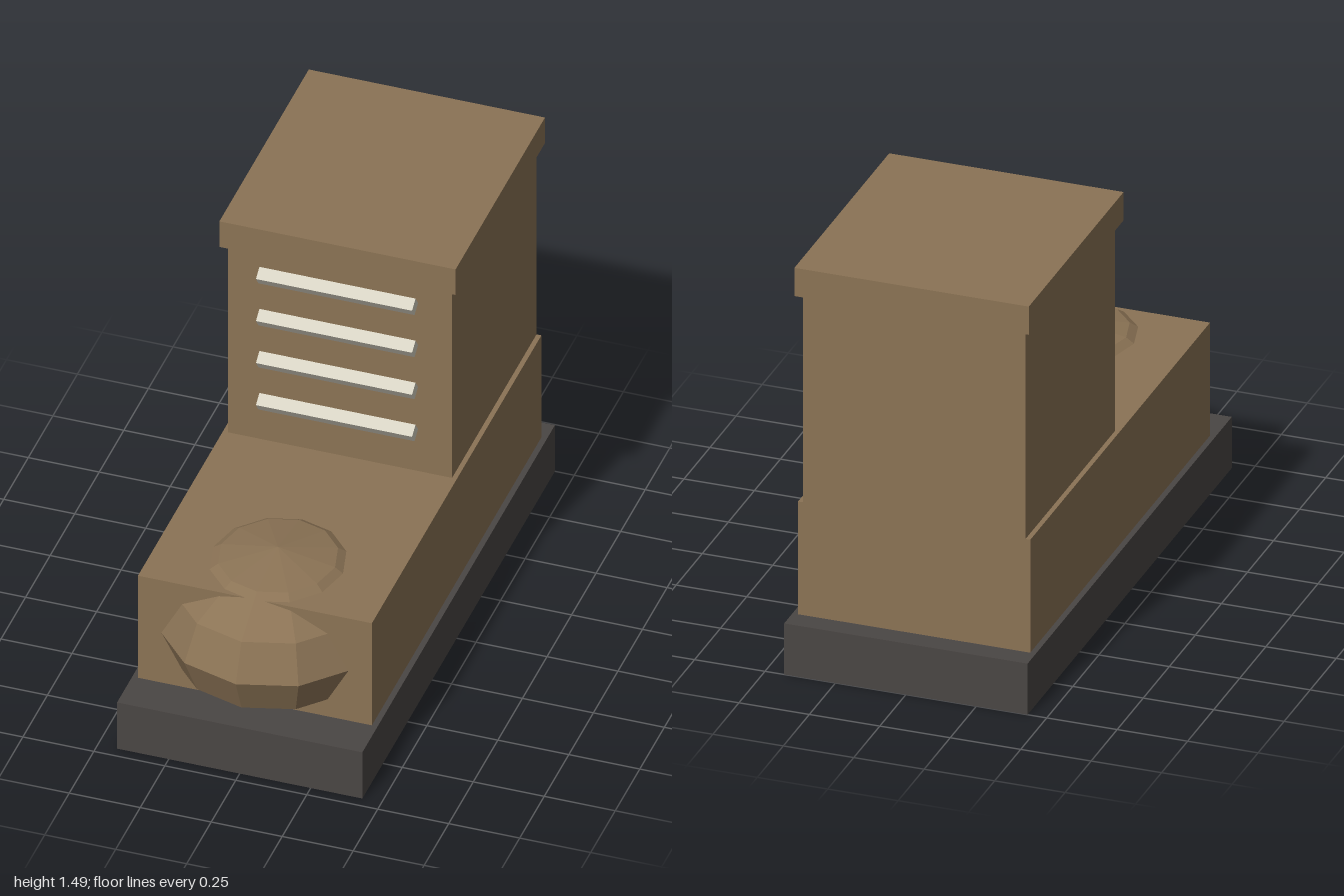
import * as THREE from 'three';

const mat = (name, color) => {
  const m = new THREE.MeshStandardMaterial({ color, flatShading: true });
  m.name = name;
  return m;
};

export function createModel() {
  const group = new THREE.Group();
  const leather = mat('brown leather', 0x8b7355);
  const rubber = mat('dark rubber', 0x4a4644);
  const cord = mat('pale cord', 0xd6d2c2);

  const add = (name, geometry, material) => {
    const mesh = new THREE.Mesh(geometry, material);
    mesh.name = name;
    group.add(mesh);
    return mesh;
  };

  // Box given by half width, and its y and z ranges
  const block = (name, halfX, y0, y1, z0, z1, material) =>
    add(name, new THREE.BoxGeometry(halfX * 2, y1 - y0, z1 - z0), material)
      .position.set(0, (y0 + y1) / 2, (z0 + z1) / 2);

  block('sole', 0.432, 0, 0.19, -1, 0.96, rubber);
  block('foot', 0.412, 0.19, 0.61, -0.92, 0.805, leather);
  block('shaft', 0.395, 0.61, 1.385, -0.92, -0.06, leather);
  block('cuff', 0.416, 1.385, 1.49, -0.945, -0.035, leather);

  // Faceted toe cap bulging out of the foot
  const toe = add('toeCap', new THREE.SphereGeometry(1, 12, 6).scale(0.402, 0.27, 0.43), leather);
  toe.position.set(0, 0.395, 0.57);

  // Four square laces, set on edge and slightly tilted
  const laceGeometry = new THREE.CylinderGeometry(0.031, 0.031, 0.55, 4).rotateZ(Math.PI / 2);
  for (let i = 0; i < 4; i++) {
    const lace = add('lace' + (i + 1), laceGeometry, cord);
    lace.position.set(0, 0.787 + i * 0.173, -0.03);
    lace.rotation.x = -0.16;
  }

  return group;
}
